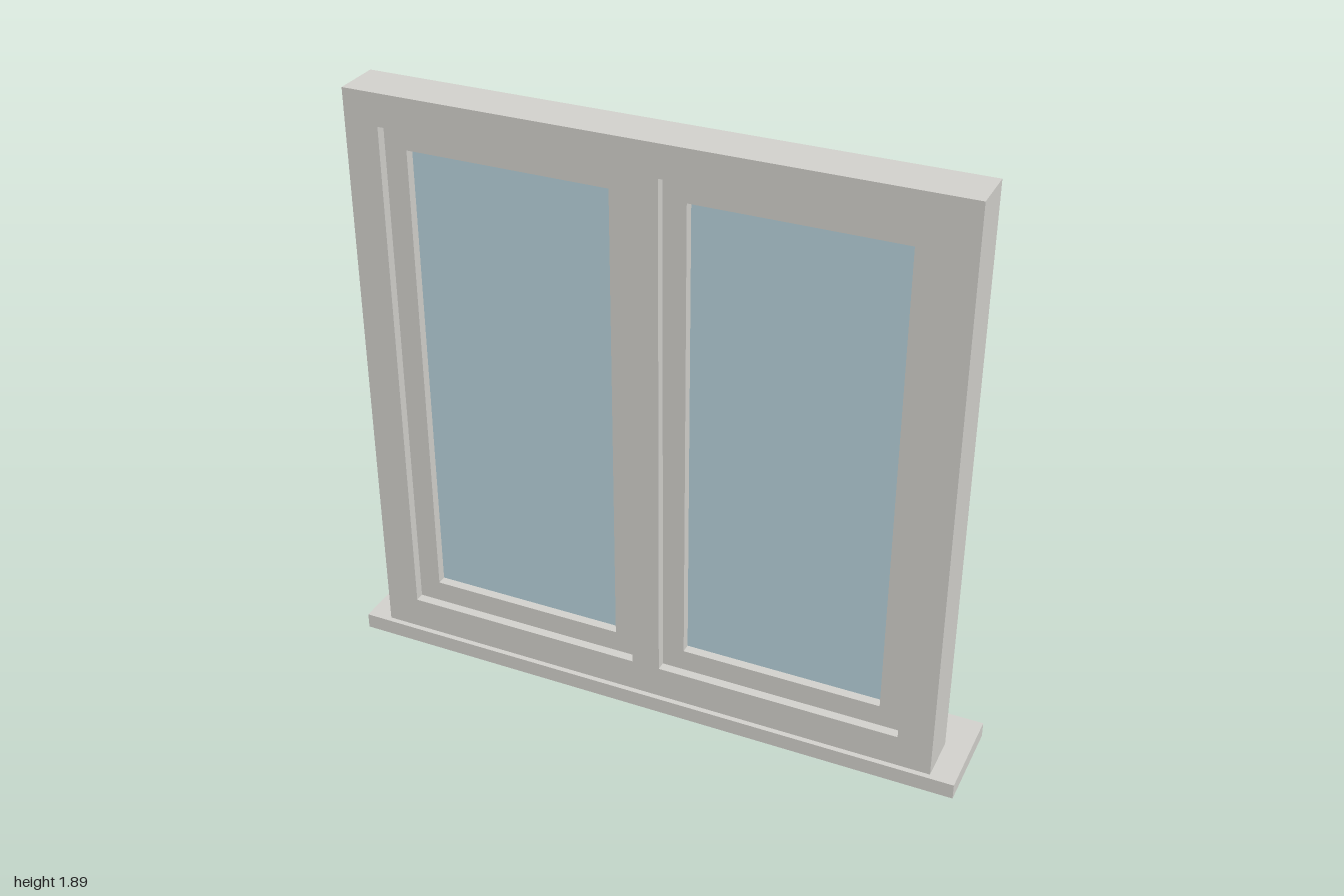
import * as THREE from 'three';

const frameMat = new THREE.MeshStandardMaterial({ color: 0xd6d5d0 });
frameMat.name = 'warm grey';
const glassMat = new THREE.MeshStandardMaterial({ color: 0xbbd7e0 });
glassMat.name = 'pale blue glass';

// Trace a rectangle onto a Shape or Path
function rect(path, [x0, x1, y0, y1]) {
  path.moveTo(x0, y0);
  path.lineTo(x1, y0);
  path.lineTo(x1, y1);
  path.lineTo(x0, y1);
  path.closePath();
  return path;
}

// Flat rectangular panel with rectangular openings, from z0 to z1
function panel(name, outer, holes, z0, z1) {
  const shape = rect(new THREE.Shape(), outer);
  for (const h of holes) shape.holes.push(rect(new THREE.Path(), h));
  const geo = new THREE.ExtrudeGeometry(shape, { depth: z1 - z0, bevelEnabled: false });
  const mesh = new THREE.Mesh(geo.translate(0, 0, z0), frameMat);
  mesh.name = name;
  return mesh;
}

// Box given by its limits on each axis
function box(name, [x0, x1, y0, y1], z0, z1, mat) {
  const mesh = new THREE.Mesh(new THREE.BoxGeometry(x1 - x0, y1 - y0, z1 - z0), mat);
  mesh.position.set((x0 + x1) / 2, (y0 + y1) / 2, (z0 + z1) / 2);
  mesh.name = name;
  return mesh;
}

export function createModel() {
  const model = new THREE.Group();
  model.name = 'doubleWindow';
  const back = -0.014, front = 0.136, step = 0.03;

  // Limits of the right and left openings, or of parts within them
  const side = (s, a, b, y0, y1) => (s > 0 ? [a, b, y0, y1] : [-b, -a, y0, y1]);
  const opening = (s) => side(s, 0.045, 0.815, 0.155, 1.79);
  const pane = (s) => side(s, 0.115, 0.745, 0.225, 1.72);

  // Sill and outer frame with its centre mullion
  model.add(box('sill', [-1, 1, 0, 0.05], -0.153, 0.153, frameMat));
  model.add(panel('frame', [-0.922, 0.922, 0.05, 1.89], [opening(-1), opening(1)], back, front));

  // Casements: sash, glass and an inside handle on the stile next to the mullion
  for (const s of [-1, 1]) {
    const casement = new THREE.Group();
    casement.name = s > 0 ? 'leftCasement' : 'rightCasement';
    casement.add(panel('sash', opening(s), [pane(s)], back + step, front - step));
    casement.add(box('glass', pane(s), back + 2 * step, front - 2 * step, glassMat));
    casement.add(box('handle', side(s, 0.065, 0.095, 0.88, 1.06), -0.029, back + step, frameMat));
    model.add(casement);
  }
  return model;
}
